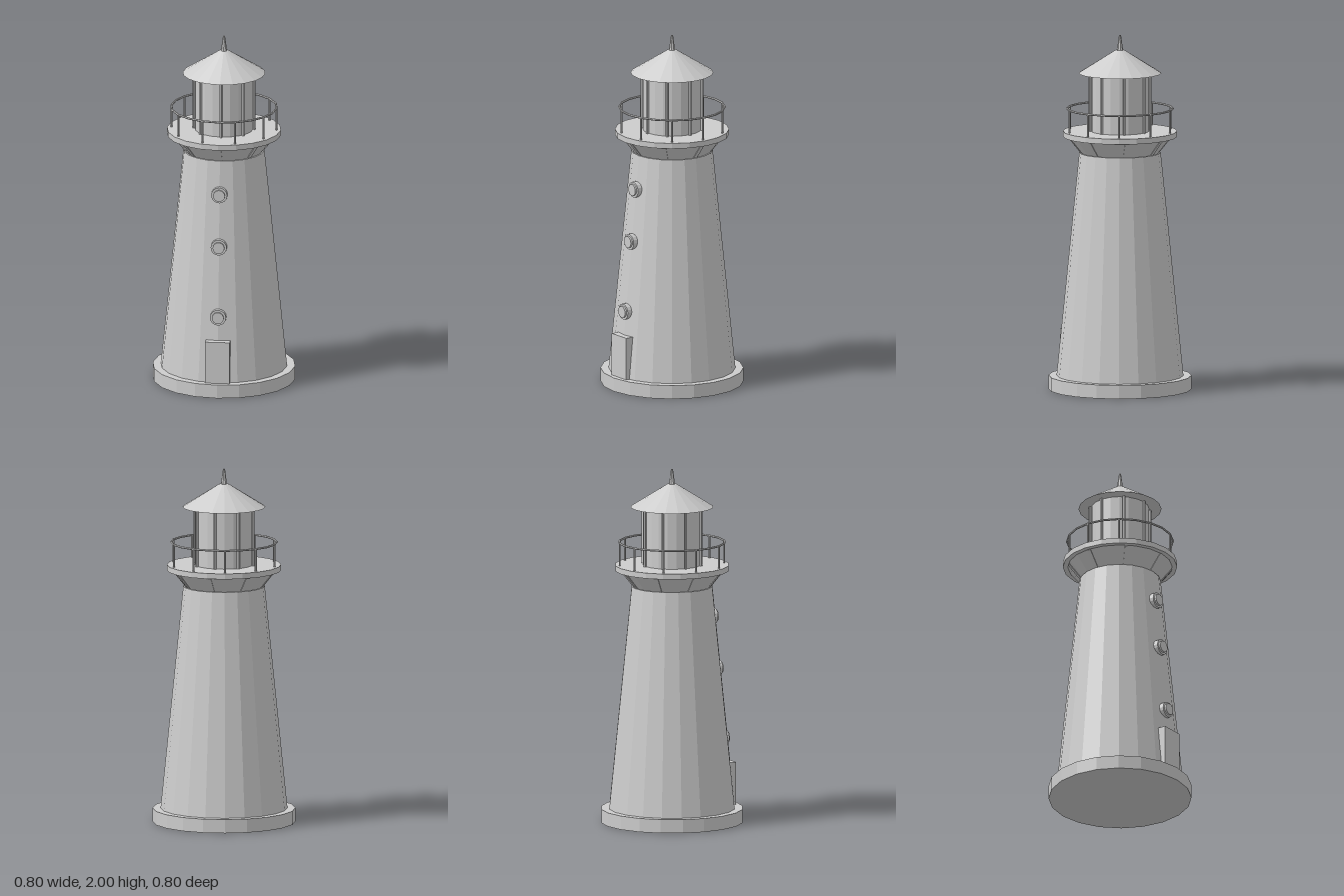
import * as THREE from 'three';

export function createModel() {
  const model = new THREE.Group();
  model.name = 'lighthouse';
  const stone = new THREE.MeshStandardMaterial({ color: 0xcccccc, flatShading: true });
  stone.name = 'pale grey';

  const add = (name, geometry, x = 0, y = 0, z = 0, parent = model) => {
    const mesh = new THREE.Mesh(geometry, stone);
    mesh.name = name;
    mesh.position.set(x, y, z);
    parent.add(mesh);
    return mesh;
  };
  // upright round part between two heights
  const round = (name, y0, y1, r0, r1, sides = 20, x = 0, z = 0) =>
    add(name, new THREE.CylinderGeometry(r1, r0, y1 - y0, sides), x, (y0 + y1) / 2, z);

  // plinth, tower and gallery
  round('base', 0, 0.077, 0.4, 0.4);
  round('tower', 0.077, 1.337, 0.355, 0.228);
  round('galleryCorbel', 1.337, 1.427, 0.22, 0.292);
  round('galleryFloor', 1.427, 1.458, 0.32, 0.32);

  // slanted brackets, barely proud of the corbel
  for (let i = 0; i < 8; i++) {
    const pivot = new THREE.Group();
    pivot.name = 'bracket';
    pivot.rotation.y = (i * Math.PI) / 4;
    const strut = add('strut', new THREE.BoxGeometry(0.025, 0.115, 0.02), 0, 1.384, 0.247, pivot);
    strut.rotation.x = Math.atan2(0.072, 0.09);
    model.add(pivot);
  }

  // gallery railing
  const rail = add('rail', new THREE.TorusGeometry(0.296, 0.006, 6, 20), 0, 1.585, 0);
  rail.rotation.x = Math.PI / 2;
  for (let i = 0; i < 10; i++) {
    const a = (i * Math.PI) / 5;
    round('railPost', 1.458, 1.585, 0.006, 0.006, 6, 0.296 * Math.cos(a), 0.296 * Math.sin(a));
  }

  // lantern room
  round('lantern', 1.458, 1.787, 0.163, 0.163);
  for (let i = 0; i < 8; i++) {
    const a = (i * Math.PI) / 4;
    round('lanternPost', 1.458, 1.787, 0.009, 0.009, 6, 0.17 * Math.cos(a), 0.17 * Math.sin(a));
  }

  // roof and finial
  round('roof', 1.785, 1.915, 0.232, 0.026);
  round('finial', 1.91, 2, 0.018, 0.006, 8);

  // door and round windows on the front
  add('door', new THREE.BoxGeometry(0.137, 0.24, 0.09), 0, 0.197, 0.322);
  for (const y of [0.452, 0.85, 1.147]) {
    const wall = 0.355 - ((y - 0.077) / 1.26) * 0.127;
    for (const [name, r, out] of [['windowFrame', 0.045, 0.02], ['windowPane', 0.033, 0.031]]) {
      const disc = add(name, new THREE.CylinderGeometry(r, r, 0.05, 16), 0, y, wall + out - 0.025);
      disc.rotation.x = Math.PI / 2;
    }
  }
  return model;
}
